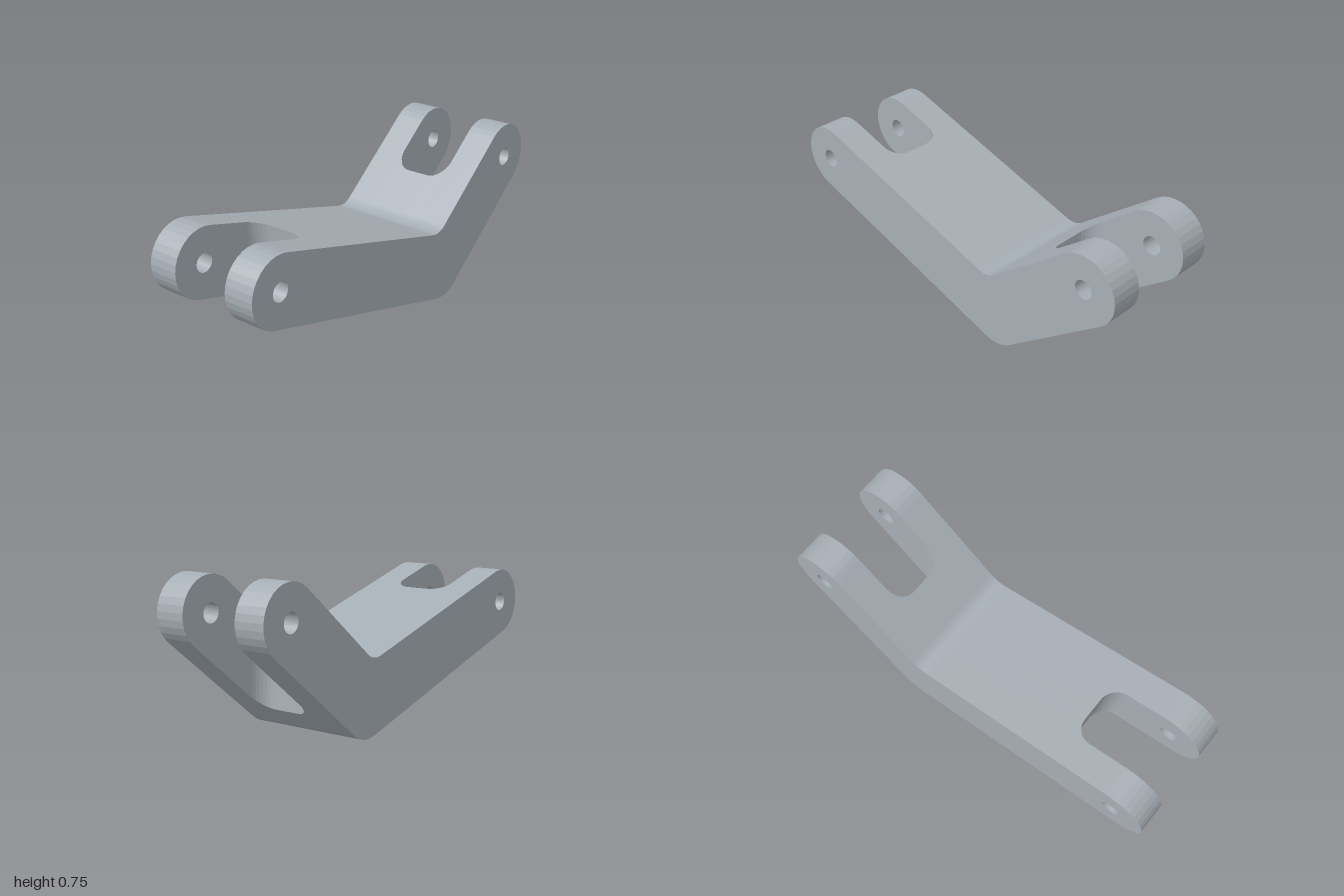
import * as THREE from 'three';

const V = (x, y) => new THREE.Vector2(x, y);

// Centres of the left eye, the bend and the right eye, and the arm's half width
const L = V(-0.835, 0.479), B = V(0.316, 0.165), R = V(0.835, 0.587);
const r = 0.165, innerR = 0.1, holeR = 0.045;
const halfDepth = 0.292, slotHalf = 0.143, slotFillet = 0.085;

// Angles of the upward normals of both arms
const aL = Math.atan2(B.y - L.y, B.x - L.x) + Math.PI / 2;
const aR = Math.atan2(R.y - B.y, R.x - B.x) + Math.PI / 2;
const normal = a => V(Math.cos(a), Math.sin(a));
const nL = normal(aL), nR = normal(aR);

function arc(c, radius, from, to, steps) {
  return Array.from({ length: steps + 1 }, (_, i) =>
    normal(from + (to - from) * i / steps).multiplyScalar(radius).add(c));
}

// Rounded bend: outer arc below, inner fillet above
const outerBend = arc(B, r, aL + Math.PI, aR + Math.PI, 6);
const innerCentre = nL.clone().add(nR).multiplyScalar((r + innerR) / (1 + nL.dot(nR))).add(B);
const innerBend = arc(innerCentre, innerR, aR + Math.PI, aL + Math.PI, 6);

// Side plate with a round eye at each end
function plateGeometry() {
  const shape = new THREE.Shape([
    ...outerBend,
    ...arc(R, r, aR + Math.PI, aR + 2 * Math.PI, 16),
    ...innerBend,
    ...arc(L, r, aL, aL + Math.PI, 16),
  ]);
  for (const c of [L, R]) {
    shape.holes.push(new THREE.Path(arc(c, holeR, 0, -2 * Math.PI, 28).slice(0, -1)));
  }
  return new THREE.ExtrudeGeometry(shape, { depth: halfDepth - slotHalf, bevelEnabled: false });
}

// Point at a given x on the upper (+1) or lower (-1) edge of an arm
function onEdge(c, n, side, x) {
  const p = n.clone().multiplyScalar(side * r).add(c);
  return V(x, p.y - n.x / n.y * (x - p.x));
}

// Middle web: cross-sections along z whose ends follow the rounded slot corners
function webGeometry() {
  const side = Array.from({ length: 9 }, (_, i) => {
    const t = i / 8 * Math.PI / 2;
    return [slotHalf - slotFillet + slotFillet * Math.sin(t), slotFillet * (1 - Math.cos(t))];
  });
  const stations = [...side.map(([z, d]) => [-z, d]).reverse(), ...side];
  const rings = stations.map(([z, d]) => [
    onEdge(L, nL, -1, -0.475 - d), ...outerBend, onEdge(R, nR, -1, 0.525 + d),
    onEdge(R, nR, 1, 0.5 + d), ...innerBend, onEdge(L, nL, 1, -0.507 - d),
  ].map(p => [p.x, p.y, z]));
  const pos = [];
  for (let k = 0; k < rings.length - 1; k++) {
    const n = rings[k].length;
    for (let i = 0; i < n; i++) {
      const j = (i + 1) % n;
      const a = rings[k][i], b = rings[k][j], c = rings[k + 1][j], d = rings[k + 1][i];
      pos.push(...a, ...b, ...c, ...a, ...c, ...d);
    }
  }
  const g = new THREE.BufferGeometry();
  g.setAttribute('position', new THREE.Float32BufferAttribute(pos, 3));
  g.computeVertexNormals();
  return g;
}

export function createModel() {
  const group = new THREE.Group();
  group.name = 'bentClevisLink';
  const steel = new THREE.MeshStandardMaterial({ color: 0xa6aeb5 });
  steel.name = 'steel grey';

  const plate = plateGeometry();
  for (const [name, z] of [['frontPlate', slotHalf], ['backPlate', -halfDepth]]) {
    const mesh = new THREE.Mesh(plate, steel);
    mesh.name = name;
    mesh.position.z = z;
    group.add(mesh);
  }
  const web = new THREE.Mesh(webGeometry(), steel);
  web.name = 'middleWeb';
  group.add(web);
  return group;
}
